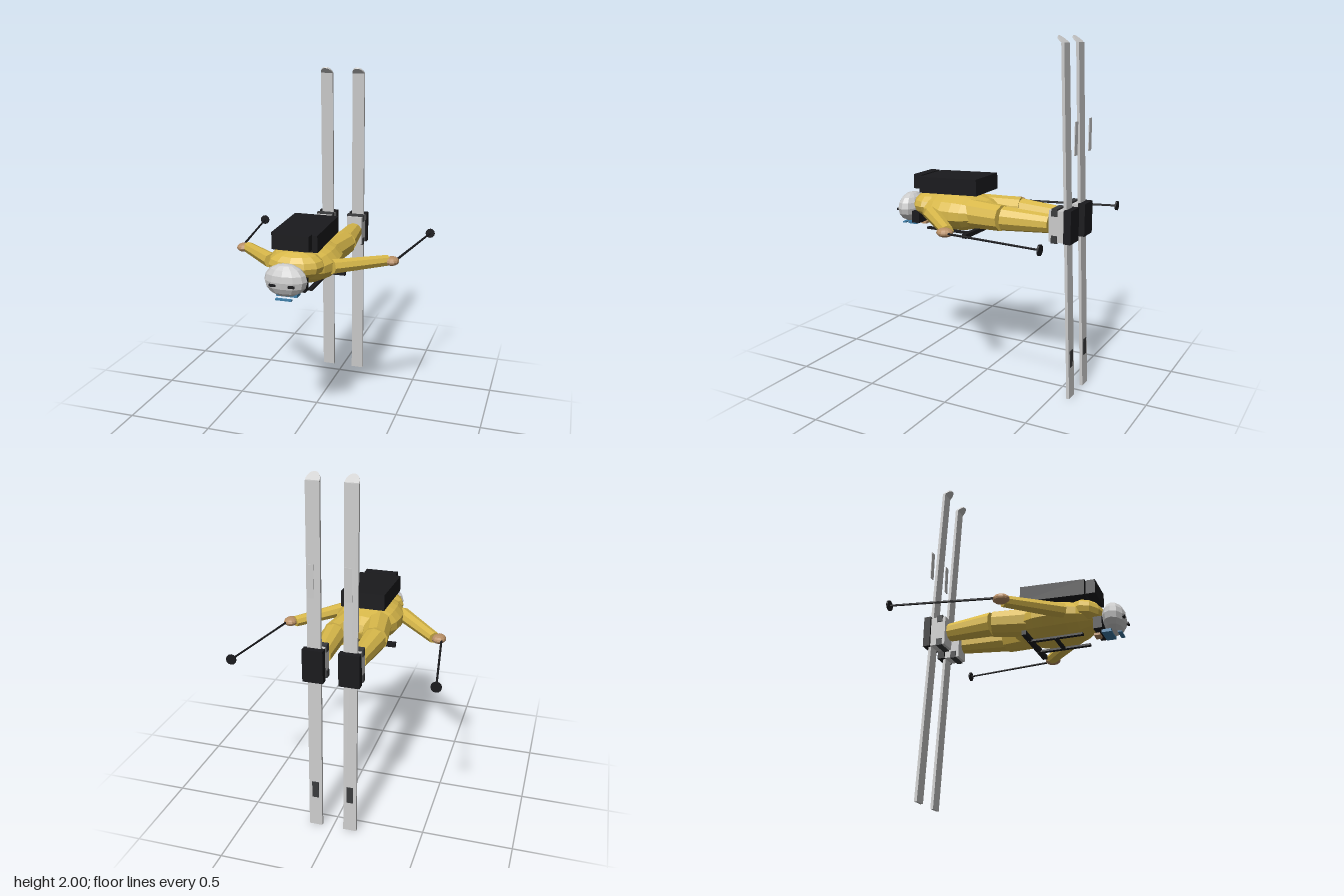
import * as THREE from 'three';

const mat = (color) => new THREE.MeshStandardMaterial({ color, flatShading: true, side: THREE.DoubleSide });

export function createModel() {
  const root = new THREE.Group();
  root.name = 'skier';
  const suit = mat(0xd8b84a), black = mat(0x1a1a1d), grey = mat(0xcccccc);
  const dark = mat(0x3a3b3d), skin = mat(0xb88f66), blue = mat(0x3f7ea8);

  const add = (name, geo, material, p = [0, 0, 0], parent = root) => {
    const m = new THREE.Mesh(geo, material);
    m.name = name;
    m.position.set(...p);
    parent.add(m);
    return m;
  };
  const box = (name, size, p, material, parent) =>
    add(name, new THREE.BoxGeometry(...size), material, p, parent);
  const ball = (name, radii, p, material, parent) =>
    add(name, new THREE.SphereGeometry(1, 12, 8).scale(...radii), material, p, parent);
  // Tapered limb running from point a to point b
  const limb = (name, a, b, ra, rb, material, sides = 10, flatten = 1, parent = root) => {
    const A = new THREE.Vector3(...a), B = new THREE.Vector3(...b);
    const d = B.clone().sub(A);
    const g = new THREE.CylinderGeometry(rb, ra, d.length(), sides);
    g.applyQuaternion(new THREE.Quaternion().setFromUnitVectors(new THREE.Vector3(0, 1, 0), d.normalize()));
    g.scale(1, flatten, 1);
    const mid = A.add(B).multiplyScalar(0.5);
    return add(name, g, material, mid.toArray(), parent);
  };

  // Torso: flattened lathe lying along z
  const profile = [[0, -0.08], [0.08, -0.065], [0.14, -0.015], [0.163, 0.035], [0.19, 0.09],
    [0.2, 0.15], [0.2, 0.22], [0.187, 0.28], [0.16, 0.34], [0.1, 0.41], [0, 0.44]]
    .map(([r, z]) => new THREE.Vector2(r, z));
  add('torso', new THREE.LatheGeometry(profile, 14).rotateX(Math.PI / 2).scale(1, 0.57, 1), suit, [0, 0.985, 0]);
  ball('shoulders', [0.16, 0.08, 0.11], [0, 1.01, 0.36], suit);

  // Head with vents, collar and goggles on the downward-facing side
  ball('helmet', [0.12, 0.09, 0.068], [0, 0.97, 0.523], grey);
  box('collar', [0.18, 0.07, 0.05], [0, 0.925, 0.445], black);
  box('goggleFrame', [0.12, 0.018, 0.055], [0, 0.882, 0.487], blue);
  box('goggleLens', [0.09, 0.007, 0.022], [0, 0.872, 0.558], blue);
  box('chin', [0.06, 0.014, 0.035], [0, 0.882, 0.425], skin);

  // Backpack with top pocket, and its harness under the chest
  const pack = box('backpack', [0.26, 0.095, 0.385], [0, 1.145, 0.195], black);
  pack.rotation.x = 0.042;
  box('packPocket', [0.2, 0.085, 0.055], [0, 1.148, 0.415], black);
  box('waistStrap', [0.38, 0.026, 0.027], [0, 0.879, 0.048], black);
  box('chestStrap', [0.18, 0.012, 0.022], [0, 0.869, 0.2], black);

  for (const s of [-1, 1]) {
    const side = new THREE.Group();
    side.name = s > 0 ? 'leftSide' : 'rightSide';
    root.add(side);
    box('helmetVent', [0.035, 0.012, 0.012], [s * 0.053, 0.955, 0.587], black, side);
    box('shoulderStrap', [0.025, 0.012, 0.32], [s * 0.08, 0.87, 0.2], black, side);

    // Arm, hand and pole
    limb('arm', [s * 0.175, 0.985, 0.272], [s * 0.425, 0.967, 0.015], 0.047, 0.036, suit, 8, 0.9, side);
    ball('hand', [0.042, 0.026, 0.048], [s * 0.452, 0.967, 0.015], skin, side);
    limb('pole', [s * 0.47, 0.967, 0], [s * 0.56, 0.979, -0.595], 0.007, 0.006, black, 6, 1, side);
    add('poleBasket', new THREE.CylinderGeometry(0.029, 0.029, 0.01, 12).rotateX(Math.PI / 2), black,
      [s * 0.56, 0.979, -0.595], side);

    // Leg
    limb('thigh', [s * 0.078, 0.99, 0.06], [s * 0.118, 0.995, -0.162], 0.085, 0.075, suit, 10, 1, side);
    limb('shin', [s * 0.12, 0.995, -0.168], [s * 0.1, 0.993, -0.443], 0.07, 0.053, suit, 10, 1, side);

    // Boot, buckles and binding
    box('boot', [0.096, 0.176, 0.09], [s * 0.1, 0.993, -0.502], grey, side);
    for (const y of [1.07, 0.92]) box('buckle', [0.108, 0.042, 0.034], [s * 0.1, y, -0.491], dark, side);
    box('binding', [0.115, 0.186, 0.042], [s * 0.1, 0.996, -0.569], black, side);

    // Ski leaning forward, with rounded upturned tip
    const ski = box('ski', [0.075, 1.964, 0.017], [s * 0.1, 0.982, -0.551], grey, side);
    ski.rotation.x = 0.0385;
    const tip = new THREE.CylinderGeometry(0.0375, 0.0375, 0.01, 12, 1, false, -Math.PI / 2, Math.PI);
    tip.scale(1, 1, 1.45).rotateX(-0.7);
    add('skiTip', tip, grey, [s * 0.1, 1.962, -0.514], side);
    box('skiPlate', [0.038, 0.18, 0.004], [s * 0.1, 1.47, -0.585], grey, side);
    box('skiPatch', [0.038, 0.1, 0.008], [s * 0.1, 0.23, -0.587], dark, side);
  }
  return root;
}
